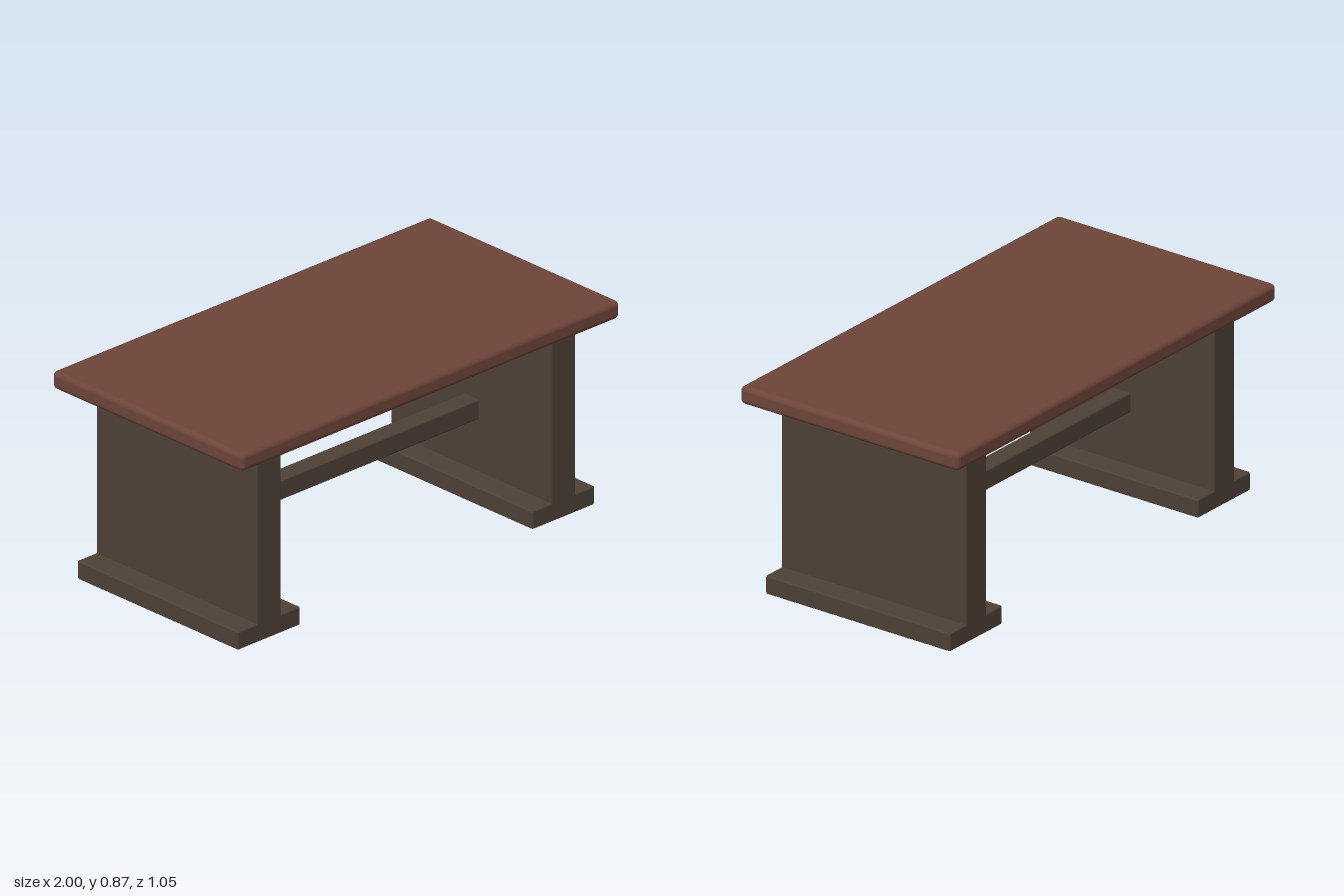
import * as THREE from 'three';
import { RoundedBoxGeometry } from 'three/addons/geometries/RoundedBoxGeometry.js';

export function createModel() {
  const table = new THREE.Group();
  table.name = 'trestleTable';

  const topWood = new THREE.MeshStandardMaterial({ color: 0x6d4439 });
  const darkWood = new THREE.MeshStandardMaterial({ color: 0x4d4036 });

  // Board with softened edges, resting on the height yBottom
  function board(name, [w, h, d], x, yBottom, radius, material) {
    const mesh = new THREE.Mesh(new RoundedBoxGeometry(w, h, d, 3, radius), material);
    mesh.name = name;
    mesh.position.set(x, yBottom + h / 2, 0);
    table.add(mesh);
  }

  // Table top, floating just above the legs
  board('tableTop', [2, 0.076, 1.05], 0, 0.793, 0.022, topWood);

  // Slab leg and wide foot at each end
  for (const [side, s] of [['left', 1], ['right', -1]]) {
    board(side + 'Leg', [0.13, 0.74, 0.886], s * 0.778, 0.04, 0.008, darkWood);
    board(side + 'Foot', [0.33, 0.078, 0.886], s * 0.778, 0, 0.008, darkWood);
  }

  // Stretcher bar joining the legs
  board('stretcher', [1.48, 0.084, 0.084], 0, 0.296, 0.008, darkWood);

  return table;
}
